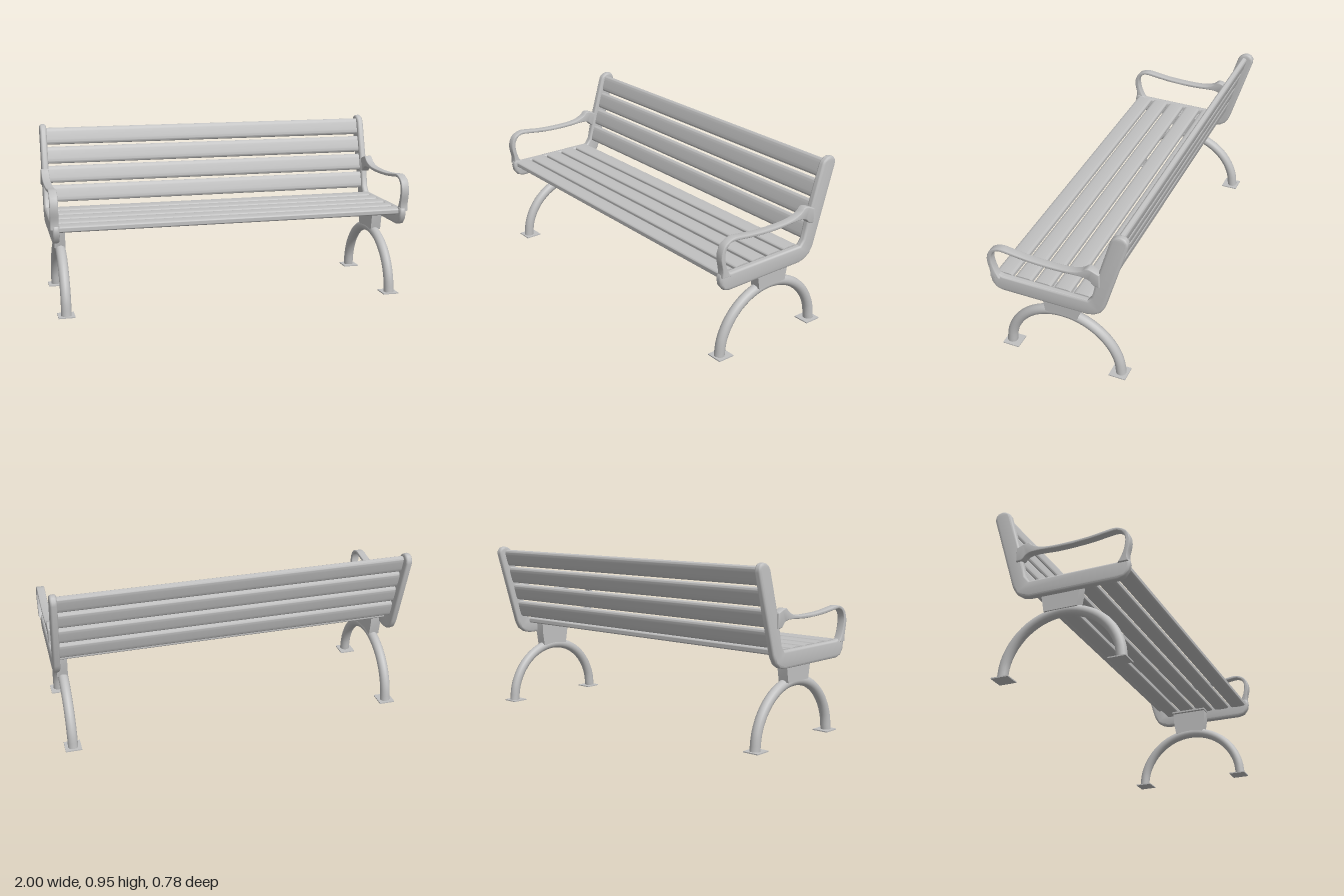
import * as THREE from 'three';
import { toCreasedNormals } from 'three/addons/utils/BufferGeometryUtils.js';

const metal = new THREE.MeshStandardMaterial({ color: 0xc0c0c0 });
metal.name = 'light grey metal';

const vec = (pts) => pts.map(([a, b]) => new THREE.Vector2(a, b));

// Extrude a (z, y) outline along x, centred on x = 0, with rounded edges
function sidePlate(points, width, bevel) {
  const geo = new THREE.ExtrudeGeometry(new THREE.Shape(points), {
    depth: width - 2 * bevel, bevelEnabled: bevel > 0, bevelThickness: bevel,
    bevelSize: bevel, bevelOffset: -bevel, bevelSegments: 3,
  });
  geo.translate(0, 0, -(width - 2 * bevel) / 2);
  geo.rotateY(-Math.PI / 2);
  return toCreasedNormals(geo, 0.75);
}

// Softly rounded slat cross-section
function slatGeometry(height, thickness) {
  const pts = [];
  for (let i = 0; i < 32; i++) {
    const a = (i / 32) * Math.PI * 2, c = Math.cos(a), s = Math.sin(a);
    pts.push(new THREE.Vector2(
      Math.sign(c) * Math.sqrt(Math.abs(c)) * thickness / 2,
      Math.sign(s) * Math.sqrt(Math.abs(s)) * height / 2));
  }
  return sidePlate(pts, 1.91, 0);
}

// L-shaped end frame carrying seat and back
const frameOutline = vec([
  [-0.165, 0.5], [-0.19, 0.532], [-0.205, 0.6], [-0.23, 0.7], [-0.295, 0.918],
  [-0.307, 0.936], [-0.328, 0.949], [-0.35, 0.953], [-0.372, 0.946], [-0.385, 0.928], [-0.386, 0.905],
  [-0.262, 0.49], [-0.255, 0.472], [-0.235, 0.44], [-0.2, 0.416], [-0.16, 0.407],
  [0.32, 0.405], [0.355, 0.416], [0.378, 0.445], [0.385, 0.48], [0.38, 0.503],
  [0.368, 0.515], [0.335, 0.506], [0.31, 0.5],
]);

// Armrest loop: outer edge from front to back, then inner edge returning
const spline = (pts, n) => new THREE.SplineCurve(vec(pts)).getPoints(n);
const armOutline = [
  ...spline([[0.378, 0.49], [0.377, 0.53], [0.389, 0.59], [0.383, 0.635], [0.36, 0.67], [0.31, 0.69],
    [0.25, 0.685], [0.15, 0.673], [0, 0.669], [-0.09, 0.676], [-0.145, 0.696], [-0.178, 0.72], [-0.24, 0.698]], 40),
  ...spline([[-0.24, 0.62], [-0.208, 0.624], [-0.18, 0.65], [-0.13, 0.658], [0, 0.651], [0.15, 0.656],
    [0.25, 0.667], [0.31, 0.673], [0.345, 0.658], [0.364, 0.62], [0.36, 0.57], [0.345, 0.525], [0.325, 0.49]], 40),
];

// Tapered block joining the arch to the seat
const mountOutline = vec([[-0.09, 0.322], [0.09, 0.322], [0.105, 0.41], [0.105, 0.468], [-0.105, 0.468], [-0.105, 0.41]]);

// Semicircular leg path
const legPath = new THREE.CatmullRomCurve3(Array.from({ length: 13 }, (_, i) => {
  const a = (i / 12) * Math.PI;
  return new THREE.Vector3(0, 0.003 + 0.317 * Math.sin(a), 0.322 * Math.cos(a));
}));

export function createModel() {
  const model = new THREE.Group();
  model.name = 'bench';
  const add = (parent, name, geo, x = 0, y = 0, z = 0) => {
    const mesh = new THREE.Mesh(geo, metal);
    mesh.name = name;
    mesh.position.set(x, y, z);
    parent.add(mesh);
    return mesh;
  };

  // Seat slats
  const seatGeo = slatGeometry(0.036, 0.094);
  for (let i = 0; i < 5; i++) add(model, 'seatSlat', seatGeo, 0, 0.485, 0.318 - i * 0.11);

  // Back slats, leaning with the frame
  const backGeo = slatGeometry(0.097, 0.036);
  for (let i = 0; i < 4; i++) {
    const y = 0.566 + i * 0.1065;
    add(model, 'backSlat', backGeo, 0, y, -0.229 - (y - 0.566) * 0.3).rotation.x = -Math.atan(0.3);
  }

  // Both ends
  const frameGeo = sidePlate(frameOutline, 0.038, 0.012);
  const armGeo = sidePlate(armOutline, 0.044, 0.005);
  const mountGeo = sidePlate(mountOutline, 0.06, 0);
  const legGeo = new THREE.TubeGeometry(legPath, 32, 0.028, 16);
  const footGeo = new THREE.BoxGeometry(0.09, 0.006, 0.094);
  const flangeGeo = new THREE.BoxGeometry(0.08, 0.01, 0.22);
  for (const [side, s] of [['left', 1], ['right', -1]]) {
    const end = new THREE.Group();
    end.name = side + 'End';
    add(end, 'endFrame', frameGeo, s * 0.97);
    add(end, 'armrest', armGeo, s * 0.978);
    add(end, 'mountBlock', mountGeo, s * 0.93);
    add(end, 'mountFlange', flangeGeo, s * 0.92, 0.463, 0);
    add(end, 'archLeg', legGeo, s * 0.926);
    for (const z of [0.312, -0.314]) add(end, 'footPlate', footGeo, s * 0.926, 0.003, z);
    model.add(end);
  }
  return model;
}
